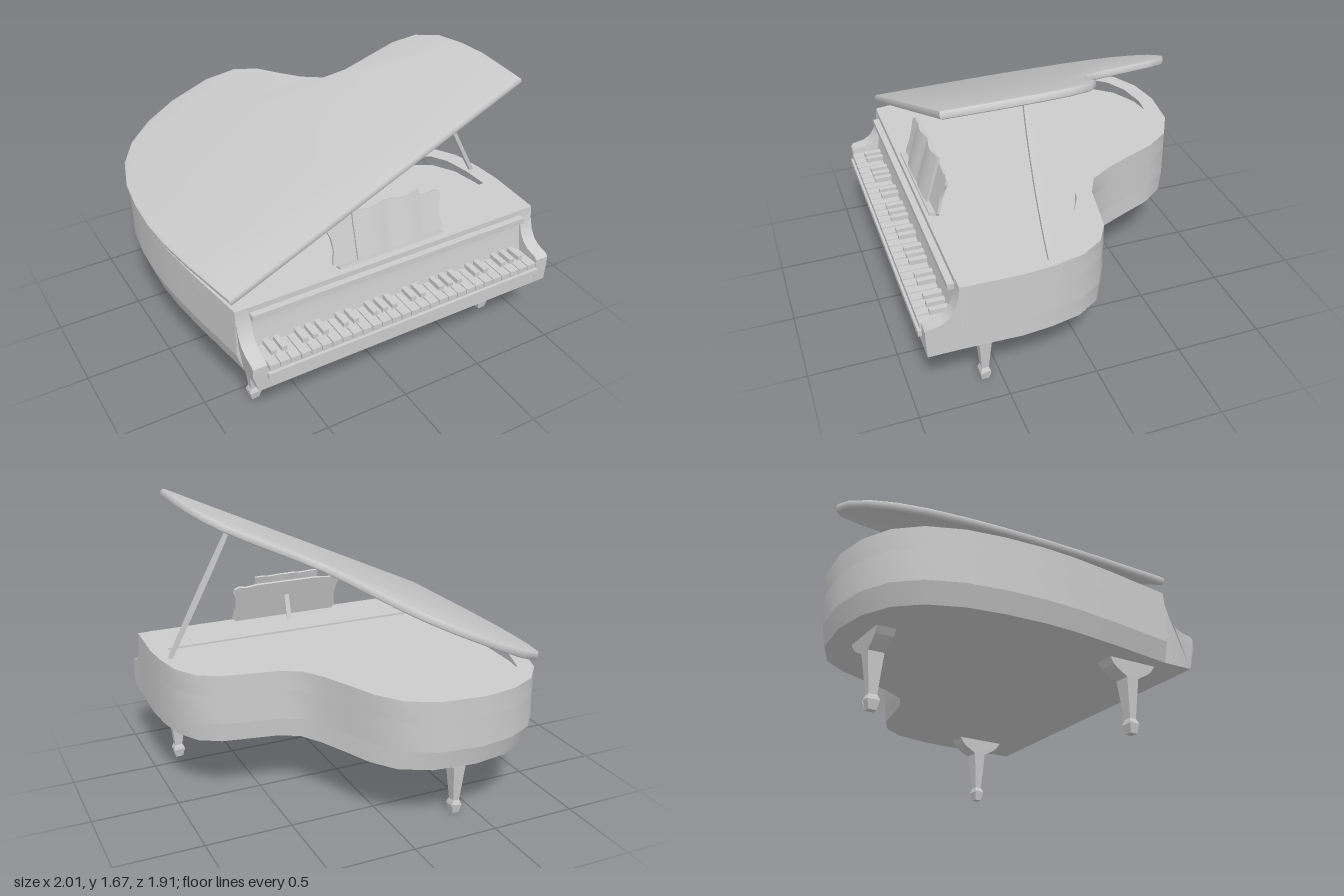
import * as THREE from 'three';
import { toCreasedNormals } from 'three/addons/utils/BufferGeometryUtils.js';

const grey = new THREE.MeshStandardMaterial({ color: 0xcccccc });

// Plan of the case as [x, z], from the front left corner round the tail
const PLAN = [
  [-0.9, 0.75], [-0.96, 0.35], [-0.99, 0.1], [-1, -0.1], [-0.99, -0.33], [-0.96, -0.53], [-0.89, -0.72],
  [-0.78, -0.85], [-0.62, -0.93], [-0.42, -0.96], [-0.17, -0.93], [0, -0.84], [0.1, -0.7],
  [0.17, -0.53], [0.24, -0.37], [0.32, -0.24], [0.44, -0.18], [0.75, -0.12], [0.87, -0.05],
  [0.95, 0.08], [0.985, 0.25], [1, 0.42], [0.99, 0.75],
];
const FLOOR = 0.39, TAPER_TOP = 0.5, BOARD = 0.67, TOP = 0.79;

function part(parent, name, geometry, x = 0, y = 0, z = 0) {
  const mesh = new THREE.Mesh(geometry, grey);
  mesh.name = name;
  mesh.position.set(x, y, z);
  parent.add(mesh);
  return mesh;
}

const box = (w, h, d) => new THREE.BoxGeometry(w, h, d);
const smooth = (g, angle = 0.6) => toCreasedNormals(g, angle);
const shapeOf = (pts) => new THREE.Shape(pts.map(([a, b]) => new THREE.Vector2(a, b)));
const planShape = (pts) => shapeOf(pts.map(([x, z]) => [x, -z]));

// Moves every vertex of a geometry by a rule
function reshape(geometry, rule) {
  const p = geometry.attributes.position, v = new THREE.Vector3();
  for (let i = 0; i < p.count; i++) {
    rule(v.fromBufferAttribute(p, i));
    p.setXYZ(i, v.x, v.y, v.z);
  }
  geometry.computeVertexNormals();
  return geometry;
}

// The case draws in towards its underside
const taper = (g) => reshape(g, (v) => {
  const t = THREE.MathUtils.clamp((TAPER_TOP - v.y) / (TAPER_TOP - FLOOR), 0, 1);
  v.x += (0.95 - v.x) * 0.018 * t;
  v.z += (0.93 - v.z) * 0.013 * t;
});

// Flat slab standing between two heights
function slab(shape, y0, y1) {
  return new THREE.ExtrudeGeometry(shape, { depth: y1 - y0, bevelEnabled: false })
    .rotateX(-Math.PI / 2).translate(0, y0, 0);
}

// Side profile of [z, y] points swept between two x positions
function sweepX(pts, x0, x1) {
  return new THREE.ExtrudeGeometry(shapeOf(pts.map(([z, y]) => [-z, y])), { depth: x1 - x0, bevelEnabled: false })
    .rotateY(Math.PI / 2).translate(x0, 0, 0);
}

// Plan moved inwards, cut off by the front deck
function pocketPlan(inset, front) {
  const pts = PLAN.slice(1, -1).map(([x, z], i) => {
    const a = PLAN[i], b = PLAN[i + 2];
    const tx = b[0] - a[0], tz = b[1] - a[1], l = Math.hypot(tx, tz);
    return [x - (tz / l) * inset, z + (tx / l) * inset];
  }).filter((p) => p[1] < front - 0.02);
  return [[-0.85, front], ...pts, [0.9, front]];
}

function makeCase(root) {
  const body = new THREE.Group();
  body.name = 'case';
  root.add(body);
  part(body, 'caseBottom', smooth(taper(slab(planShape(PLAN), FLOOR, TAPER_TOP))));
  part(body, 'soundboardBlock', smooth(slab(planShape(PLAN), TAPER_TOP, BOARD)));
  const rim = planShape(PLAN);
  rim.holes.push(new THREE.Path(planShape(pocketPlan(0.095, 0.42)).getPoints()));
  part(body, 'rim', smooth(slab(rim, BOARD, TOP)));

  // Curved arms at both ends of the keyboard
  const arm = [[0.7, FLOOR], [0.93, FLOOR], [0.935, TAPER_TOP], [0.935, 0.55], [0.92, 0.565], [0.85, 0.58],
    [0.81, 0.605], [0.78, 0.65], [0.757, 0.72], [0.75, TOP], [0.7, TOP]];
  for (const [name, x0, x1] of [['rightArm', -0.9, -0.82], ['leftArm', 0.91, 0.99]]) {
    part(body, name, smooth(taper(sweepX(arm, x0, x1))));
  }
  const fall = [[0.7, 0.5], [0.785, 0.5], [0.775, 0.57], [0.762, 0.64], [0.755, 0.7], [0.753, TOP], [0.7, TOP]];
  part(body, 'fallboard', smooth(sweepX(fall, -0.83, 0.92)));
  part(body, 'keybed', taper(box(1.75, 0.12, 0.2).translate(0.045, 0.45, 0.83)));
  part(body, 'fallboardRail', box(1.73, 0.035, 0.04), 0.045, 0.74, 0.77);
  part(body, 'keyslip', box(1.73, 0.035, 0.04), 0.045, 0.485, 0.935);
}

function makeKeyboard(root) {
  const keys = new THREE.Group();
  keys.name = 'keyboard';
  root.add(keys);
  const step = 1.71 / 28;
  for (let i = 0; i < 28; i++) {
    const x = -0.81 + step * i;
    part(keys, 'whiteKey', box(step - 0.006, 0.035, 0.165), x + step / 2, 0.525, 0.86);
    if (![2, 6].includes(i % 7)) part(keys, 'blackKey', box(0.032, 0.05, 0.1), x + step, 0.545, 0.825);
  }
}

// Lid, hinged along the straight side and propped open
function makeLid(root) {
  const hinge = new THREE.Group();
  hinge.name = 'lidHinge';
  hinge.position.set(-1, TOP, 0);
  hinge.rotation.z = THREE.MathUtils.degToRad(25);
  root.add(hinge);
  const lid = new THREE.ExtrudeGeometry(planShape(PLAN), {
    depth: 0.02, bevelThickness: 0.012, bevelSize: 0.016, bevelOffset: -0.016, bevelSegments: 2,
  }).rotateX(-Math.PI / 2).translate(1, 0.012, 0);
  part(hinge, 'lid', smooth(lid, 0.7));

  const foot = new THREE.Vector2(0.93, TOP), head = new THREE.Vector2(0.55, 1.515);
  const length = foot.distanceTo(head);
  const stick = reshape(new THREE.BoxGeometry(0.022, length, 0.042, 1, 6, 1), (v) => {
    v.z *= 1 - 0.55 * (2 * v.y / length) ** 2;
  });
  const prop = part(root, 'lidProp', smooth(stick), (foot.x + head.x) / 2, (foot.y + head.y) / 2, 0.255);
  prop.rotation.z = Math.atan2(foot.x - head.x, head.y - foot.y);
}

function makeMusicDesk(root) {
  const desk = new THREE.Group();
  desk.name = 'musicDesk';
  desk.position.set(0.05, 0.797, 0.69);
  desk.rotation.x = -0.28;
  root.add(desk);
  const half = [[0.33, 0], [0.35, 0.02], [0.335, 0.1], [0.342, 0.17], [0.357, 0.205], [0.35, 0.235],
    [0.32, 0.247], [0.28, 0.24], [0.2, 0.25]];
  const outline = [...half, ...half.map(([x, y]) => [-x, y]).reverse()];
  part(desk, 'deskPanel', smooth(new THREE.ExtrudeGeometry(shapeOf(outline), { depth: 0.016, bevelEnabled: false })));
  part(desk, 'deskLedge', box(0.66, 0.012, 0.045), 0, 0.006, 0.03);

  // Open book with two bulging pages
  const book = reshape(new THREE.BoxGeometry(0.42, 0.27, 0.014, 16, 1, 1), (v) => {
    const wave = Math.sin(Math.PI * Math.abs(v.x) / 0.21);
    v.z += 0.014 * wave;
    v.y += 0.006 * Math.cos(2 * Math.PI * v.x / 0.21) * Math.sign(v.y);
  });
  part(desk, 'book', smooth(book), 0, 0.15, 0.03);

  const strut = part(root, 'deskStrut', box(0.03, 0.16, 0.006), 0.05, 0.866, 0.627);
  strut.rotation.x = 0.28;
}

// Leg with a flared bracket; its thickness follows the height
function legGeometry() {
  const half = [[0.02, 0], [0.03, 0.05], [0.028, 0.06], [0.019, 0.08], [0.037, 0.3], [0.1, 0.335], [0.125, 0.355], [0.155, 0.4]];
  const thickness = [[0, 0.022], [0.05, 0.034], [0.06, 0.032], [0.08, 0.023], [0.3, 0.046], [0.4, 0.055]];
  const outline = [...half, ...half.map(([x, y]) => [-x, y]).reverse()];
  const leg = new THREE.ExtrudeGeometry(shapeOf(outline), { depth: 2, bevelEnabled: false }).translate(0, 0, -1);
  reshape(leg, (v) => {
    const i = Math.max(1, thickness.findIndex(([y]) => y >= v.y - 1e-6));
    const [y0, a] = thickness[i - 1], [y1, b] = thickness[i];
    v.z *= a + (b - a) * (v.y - y0) / (y1 - y0);
  });
  return smooth(leg, 0.3);
}

export function createModel() {
  const root = new THREE.Group();
  root.name = 'grandPiano';
  makeCase(root);
  makeKeyboard(root);
  makeLid(root);
  makeMusicDesk(root);
  const leg = legGeometry();
  part(root, 'backLeg', leg, -0.39, 0, -0.74);
  part(root, 'frontRightLeg', leg, -0.74, 0, 0.59).rotation.y = Math.PI / 2;
  part(root, 'frontLeftLeg', leg, 0.825, 0, 0.59).rotation.y = Math.PI / 2;
  return root;
}
